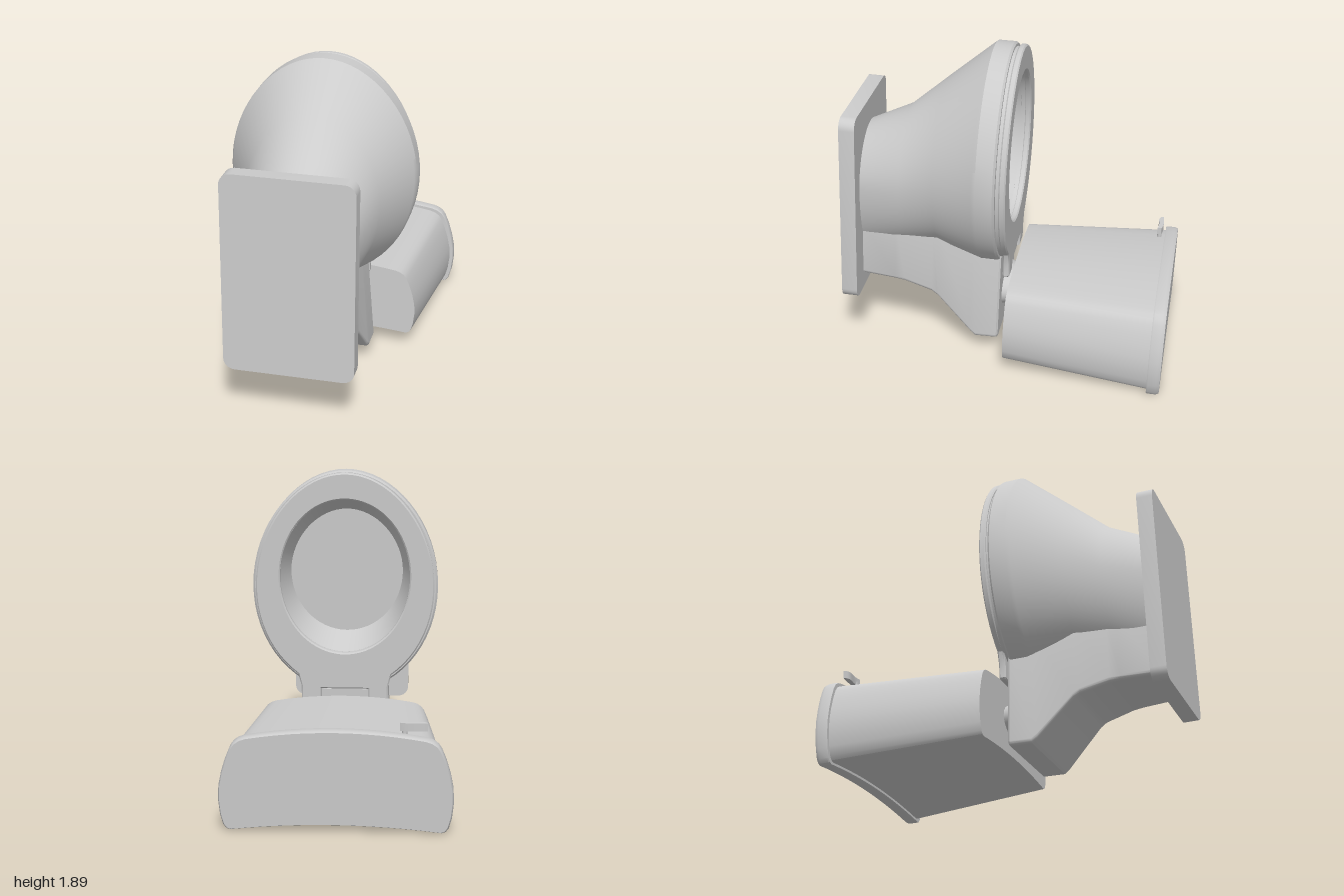
import * as THREE from 'three';
import { toCreasedNormals } from 'three/addons/utils/BufferGeometryUtils.js';

const grey = new THREE.MeshStandardMaterial({ color: 0xcccccc });

function part(name, geometry, crease = 0.5) {
  const mesh = new THREE.Mesh(toCreasedNormals(geometry, crease), grey);
  mesh.name = name;
  return mesh;
}

// Skin a list of equal-length rings (counter-clockwise seen from +z), closing both ends.
function loft(rings) {
  const n = rings[0].length, pos = [], index = [];
  rings.forEach(r => r.forEach(p => pos.push(p.x, p.y, p.z)));
  for (let k = 0; k < rings.length - 1; k++) {
    for (let i = 0; i < n; i++) {
      const a = k * n + i, b = k * n + (i + 1) % n;
      index.push(a, b, b + n, a, b + n, a + n);
    }
  }
  [0, rings.length - 1].forEach((k, end) => {
    const c = new THREE.Vector3();
    rings[k].forEach(p => c.addScaledVector(p, 1 / n));
    const ci = pos.length / 3;
    pos.push(c.x, c.y, c.z);
    for (let i = 0; i < n; i++) {
      const a = k * n + i, b = k * n + (i + 1) % n;
      if (end) index.push(ci, a, b); else index.push(ci, b, a);
    }
  });
  const g = new THREE.BufferGeometry();
  g.setAttribute('position', new THREE.Float32BufferAttribute(pos, 3));
  g.setIndex(index);
  return g;
}

// Egg point: separate upper and lower radii, drawn in a little towards the top.
function eggPoint(a, rx, cy, up, down) {
  const s = Math.sin(a), narrow = s > 0 ? 1 - 0.05 * s * s : 1;
  return new THREE.Vector2(rx * narrow * Math.cos(a), cy + s * (s > 0 ? up : down));
}

function eggRing(z, rx, cy, up, down, n = 64) {
  return Array.from({ length: n }, (_, i) => {
    const p = eggPoint(i / n * Math.PI * 2, rx, cy, up, down);
    return new THREE.Vector3(p.x, p.y, z);
  });
}

// Rectangle with rounded corners; wTop lets the upper edge be narrower.
function roundRing(z, w, y0, y1, r, wTop = w, n = 6) {
  const ring = [];
  [[1, 1], [-1, 1], [-1, -1], [1, -1]].forEach(([sx, sy], q) => {
    const half = sy > 0 ? wTop : w;
    for (let i = 0; i <= n; i++) {
      const a = (q + i / n) * Math.PI / 2;
      ring.push(new THREE.Vector3(sx * (half - r) + r * Math.cos(a),
        (sy > 0 ? y1 - r : y0 + r) + r * Math.sin(a), z));
    }
  });
  return ring;
}

// Tank section: bowed front and back, bulging sides. Right half, bottom to top.
const tankSide = [[0.9, 0], [0.935, 0.012], [0.96, 0.05], [0.985, 0.15], [1, 0.3], [0.995, 0.44],
  [0.97, 0.58], [0.935, 0.71], [0.895, 0.82], [0.865, 0.87], [0.82, 0.905], [0.765, 0.925]];
function tankRing(z, w, y0, y1) {
  const h = y1 - y0, half = tankSide.map(p => p.slice());
  for (let i = 1; i <= 6; i++) {
    const x = 0.765 * (1 - i / 6);
    half.push([x, 1 - 0.075 * (x / 0.765) ** 2]);
  }
  const lower = [];
  for (let i = 0; i < 6; i++) lower.push([0.9 * i / 6, 0.06 * (1 - (i / 6) ** 2)]);
  const right = [...lower, ...half];
  const left = right.slice(1, -1).reverse().map(([x, t]) => [-x, t]);
  return [...right, ...left].map(([x, t]) => new THREE.Vector3(x * w, y0 + t * h, z));
}

function seatGeometry() {
  const pts = [], a0 = 1.014;
  for (let i = 0; i <= 56; i++) {
    pts.push(eggPoint(-a0 + (Math.PI + 2 * a0) * i / 56, 0.53, 1.2, 0.681, 0.62));
  }
  // hinge tab with a notch
  [[-0.26, 0.6], [-0.26, 0.52], [-0.25, 0.51], [-0.14, 0.51], [-0.14, 0.585],
    [0.14, 0.585], [0.14, 0.51], [0.25, 0.51], [0.26, 0.52], [0.26, 0.6]]
    .forEach(([x, y]) => pts.push(new THREE.Vector2(x, y)));
  const shape = new THREE.Shape(pts);
  shape.holes.push(new THREE.Path().absellipse(0, 1.265, 0.385, 0.46, 0, Math.PI * 2, true));
  return new THREE.ExtrudeGeometry(shape, {
    depth: 0.024, bevelSize: 0.008, bevelThickness: 0.008, bevelOffset: -0.008,
    bevelSegments: 1, curveSegments: 48,
  }).translate(0, 0, 0.005);
}

export function createModel() {
  const model = new THREE.Group();
  model.name = 'toilet';
  const body = new THREE.Group();
  body.name = 'tippedToilet';
  model.add(body);

  // Floor plate
  body.add(part('basePlate', loft([0.905, 0.998].map(z => roundRing(z, 0.375, 0.302, 1.486, 0.065)))));

  // Bowl: inner floor, inner wall, rim, then the outside down to the plate
  body.add(part('bowl', loft([
    [0.26, 0.34, 1.26, 0.38, 0.37],
    [0.056, 0.39, 1.265, 0.463, 0.463],
    [0.056, 0.54, 1.2, 0.68, 0.64],
    [0.068, 0.552, 1.2, 0.69, 0.65],
    [0.168, 0.552, 1.2, 0.689, 0.65],
    [0.19, 0.541, 1.195, 0.675, 0.64],
    [0.445, 0.394, 1.13, 0.518, 0.52],
    [0.66, 0.34, 1.05, 0.403, 0.475],
    [0.915, 0.278, 1.0, 0.328, 0.5],
  ].map(r => eggRing(...r)))));

  // Pedestal running from the plate to the deck under the tank
  body.add(part('pedestal', loft([
    [0.05, 0.285, 0.1, 0.74, 0.24],
    [0.06, 0.295, 0.09, 0.75, 0.245],
    [0.188, 0.295, 0.086, 0.75, 0.245],
    [0.22, 0.29, 0.11, 0.76, 0.245],
    [0.43, 0.264, 0.322, 0.8, 0.24],
    [0.47, 0.259, 0.347, 0.8, 0.24],
    [0.64, 0.245, 0.388, 0.8, 0.235],
    [0.7, 0.24, 0.394, 0.8, 0.23],
    [0.915, 0.22, 0.398, 0.8, 0.22],
  ].map(([z, w, y0, y1, wTop]) => roundRing(z, w, y0, y1, 0.025, wTop)))));

  // Seat, the pad beneath it and its hinge
  body.add(part('seat', seatGeometry()));
  const pad = new THREE.Shape(Array.from({ length: 64 },
    (_, i) => eggPoint(i / 32 * Math.PI, 0.515, 1.2, 0.665, 0.63)));
  pad.holes.push(new THREE.Path().absellipse(0, 1.265, 0.39, 0.463, 0, Math.PI * 2, true));
  body.add(part('seatPad', new THREE.ExtrudeGeometry(pad,
    { depth: 0.03, bevelEnabled: false, curveSegments: 40 }).translate(0, 0, 0.03)));
  body.add(part('seatHinge', new THREE.BoxGeometry(0.26, 0.065, 0.045).translate(0, 0.547, 0.035)));

  // Coupling between deck and tank
  const coupling = new THREE.CylinderGeometry(0.1, 0.12, 0.09, 32);
  coupling.rotateX(-Math.PI / 2).scale(1.6, 1, 1).translate(0, 0.33, 0.02);
  body.add(part('tankCoupling', coupling));

  // Tank and lid
  body.add(part('tank', loft([
    tankRing(-0.9, 0.618, 0.053, 0.583),
    tankRing(-0.018, 0.533, 0.092, 0.546),
  ])));
  body.add(part('tankLid', loft([
    [-0.963, 0.008], [-0.954, 0.003], [-0.942, 0], [-0.895, 0], [-0.888, 0.003],
  ].map(([z, d]) => tankRing(z, 0.64 - d, 0.035 + d, 0.603 - d)))));

  // Flush lever: a wavy flat bar on a short stub
  const lever = new THREE.Group();
  lever.name = 'flushLever';
  const bar = new THREE.Shape();
  bar.moveTo(-0.495, 0.006);
  bar.bezierCurveTo(-0.46, -0.03, -0.42, 0.01, -0.345, -0.012);
  bar.lineTo(-0.345, 0.012);
  bar.bezierCurveTo(-0.4, 0.035, -0.46, 0.015, -0.495, 0.018);
  const barGeo = new THREE.ExtrudeGeometry(bar, { depth: 0.045, bevelEnabled: false });
  barGeo.rotateX(-Math.PI / 2).translate(0, 0.584, -0.85);
  lever.add(part('leverBar', barGeo));
  lever.add(part('leverStub', new THREE.CylinderGeometry(0.014, 0.014, 0.08, 16)
    .translate(-0.37, 0.565, -0.853)));
  body.add(lever);

  // The whole fixture leans slightly
  body.rotation.set(-0.035, -0.039, 0);
  body.position.x = -0.038;
  return model;
}
